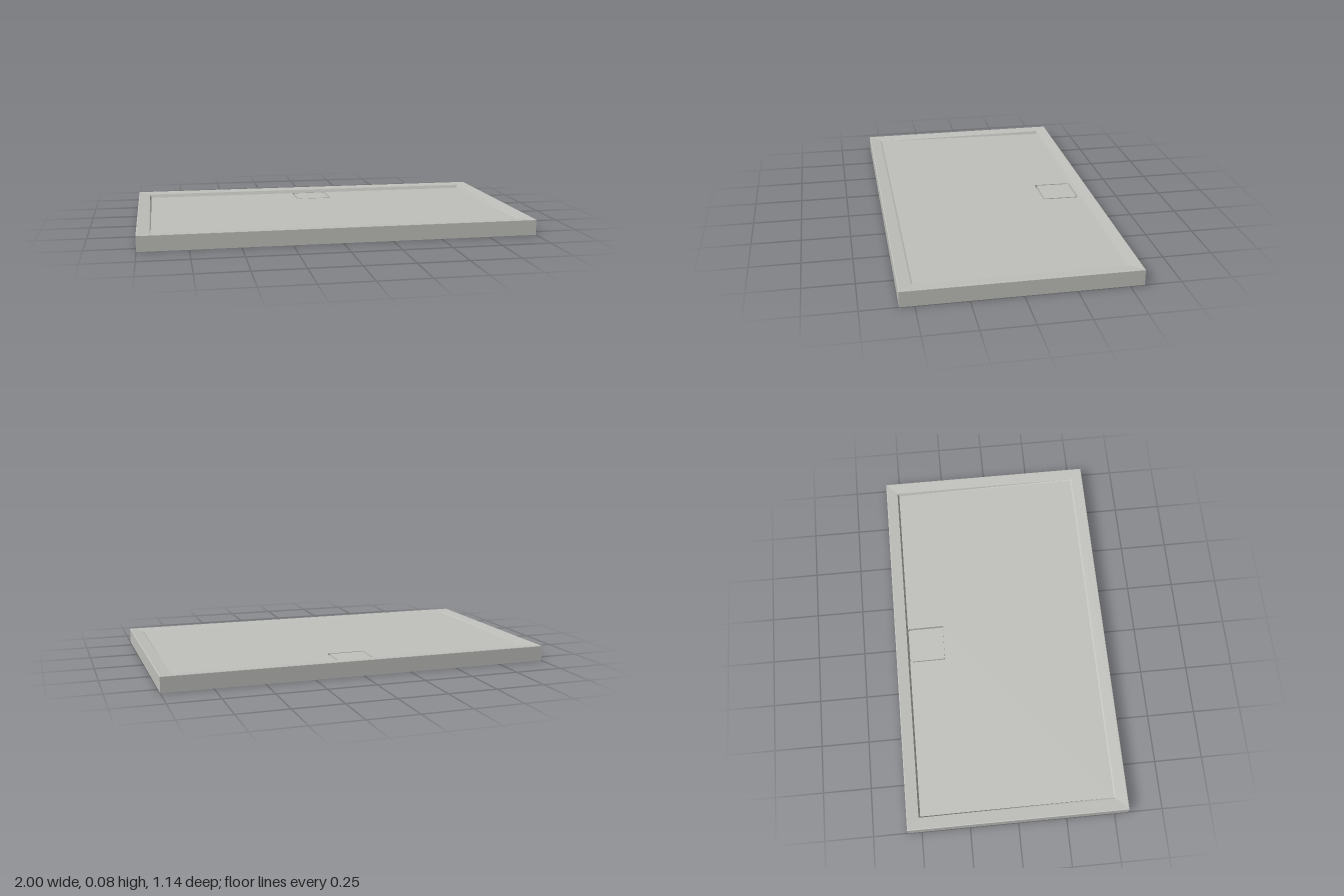
import * as THREE from 'three';

const HX = 1, HZ = 0.57;              // half width and half depth of the tray
const DRAIN_Z = -0.4;                 // centre of the drain

// The floor falls gently from the front to the drain side
const floorY = (z) => 0.0635 + 0.015 * z;

// Rounded square outline in shape space (shape y = -z)
function roundedSquare(half, r, cy, Path = THREE.Shape) {
  const p = new Path(), q = half - r;
  p.absarc(q, cy + q, r, 0, Math.PI / 2);
  p.absarc(-q, cy + q, r, Math.PI / 2, Math.PI);
  p.absarc(-q, cy - q, r, Math.PI, Math.PI * 1.5);
  p.absarc(q, cy - q, r, Math.PI * 1.5, Math.PI * 2);
  p.closePath();
  return p;
}

// Flat-faced skin through rectangular loops, each [inset, height(z)]
function rectangularSkin(loops) {
  const pos = [];
  const rings = loops.map(([inset, h]) =>
    [[-1, 1], [1, 1], [1, -1], [-1, -1]].map(([sx, sz]) => {
      const z = sz * (HZ - inset);
      return [sx * (HX - inset), h(z), z];
    }));
  for (let i = 0; i < rings.length - 1; i++) {
    for (let j = 0; j < 4; j++) {
      const k = (j + 1) % 4;
      const a = rings[i][j], b = rings[i][k], c = rings[i + 1][k], d = rings[i + 1][j];
      pos.push(...a, ...b, ...c, ...a, ...c, ...d);
    }
  }
  const g = new THREE.BufferGeometry();
  g.setAttribute('position', new THREE.Float32BufferAttribute(pos, 3));
  g.computeVertexNormals();
  return g;
}

// Lay a shape flat and drop it onto a height rule
function layFlat(shape, h) {
  const g = new THREE.ShapeGeometry(shape, 6).rotateX(-Math.PI / 2);
  const p = g.attributes.position;
  for (let i = 0; i < p.count; i++) p.setY(i, h(p.getZ(i)));
  g.computeVertexNormals();
  return g;
}

// Upright wall following an outline between two height rules
function outlineWall(path, bottom, top) {
  const pts = path.getPoints(6), pos = [];
  for (let i = 0; i < pts.length; i++) {
    const a = pts[i], b = pts[(i + 1) % pts.length];
    if (a.distanceTo(b) < 1e-6) continue;
    const v = (p, h) => [p.x, h(-p.y), -p.y];
    pos.push(...v(a, bottom), ...v(b, bottom), ...v(b, top),
      ...v(a, bottom), ...v(b, top), ...v(a, top));
  }
  const g = new THREE.BufferGeometry();
  g.setAttribute('position', new THREE.Float32BufferAttribute(pos, 3));
  g.computeVertexNormals();
  return g;
}

export function createModel() {
  const tray = new THREE.Group();
  tray.name = 'showerTray';
  const stone = new THREE.MeshStandardMaterial({ color: 0xc0c0bc, side: THREE.DoubleSide });
  stone.name = 'light grey';
  const add = (name, geometry) => {
    const m = new THREE.Mesh(geometry, stone);
    m.name = name;
    tray.add(m);
    return m;
  };
  const level = (y) => () => y;

  // Outer skirt, softened top edge, inward-falling rim and the step to the floor
  add('skirtAndRim', rectangularSkin([
    [0, level(0)], [0, level(0.077)], [0.001, level(0.079)], [0.004, level(0.08)],
    [0.062, level(0.074)], [0.07, floorY],
  ]));

  // Sloping floor with the drain opening
  const fx = HX - 0.07, fz = HZ - 0.07;
  const floor = new THREE.Shape();
  floor.moveTo(-fx, -fz).lineTo(fx, -fz).lineTo(fx, fz).lineTo(-fx, fz).closePath();
  floor.holes.push(roundedSquare(0.1, 0.012, -DRAIN_Z, THREE.Path));
  add('floor', layFlat(floor, floorY));

  // Drain recess below the opening
  const recess = roundedSquare(0.1, 0.012, -DRAIN_Z);
  const recessY = level(0.035);
  add('drainRecessWall', outlineWall(recess, recessY, floorY));
  add('drainRecessBase', layFlat(recess, recessY));

  // Loose cover plate with a narrow gap around it
  const cover = roundedSquare(0.09, 0.008, -DRAIN_Z);
  add('drainCoverTop', layFlat(cover, floorY));
  add('drainCoverEdge', outlineWall(cover, (z) => floorY(z) - 0.015, floorY));

  // Round outlet collar under the recess
  const collar = add('outletCollar', new THREE.CylinderGeometry(0.08, 0.08, 0.017, 40, 1, true));
  collar.position.set(0, 0.0265, DRAIN_Z);

  return tray;
}
